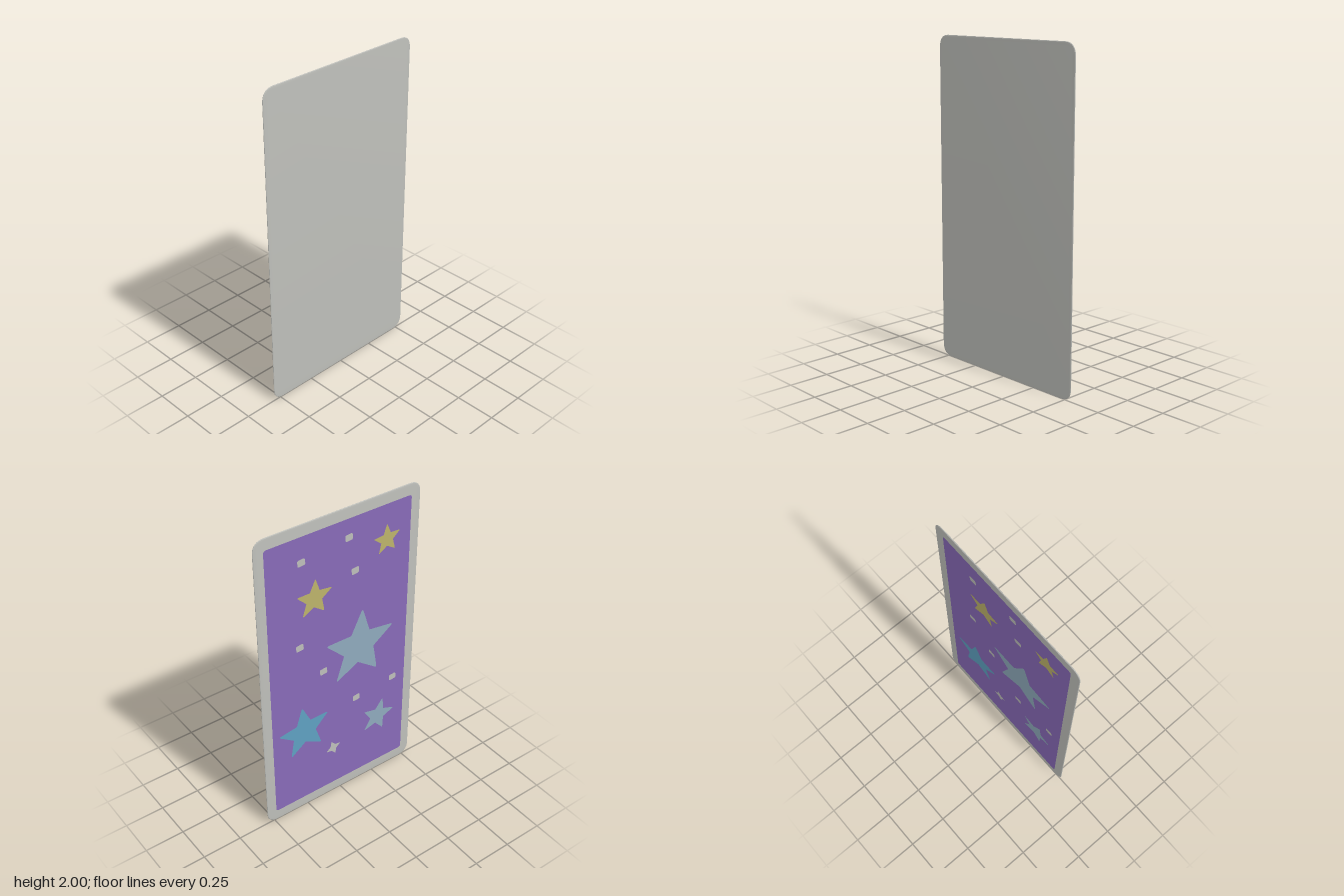
import * as THREE from 'three';
import { toCreasedNormals } from 'three/addons/utils/BufferGeometryUtils.js';

const mat = (name, color) => {
  const m = new THREE.MeshStandardMaterial({ color });
  m.name = name;
  return m;
};

// Rounded rectangle centred on the origin
function roundedRect(w, h, r) {
  const x = w / 2, y = h / 2, s = new THREE.Shape();
  s.moveTo(-x + r, -y);
  s.lineTo(x - r, -y).quadraticCurveTo(x, -y, x, -y + r);
  s.lineTo(x, y - r).quadraticCurveTo(x, y, x - r, y);
  s.lineTo(-x + r, y).quadraticCurveTo(-x, y, -x, y - r);
  s.lineTo(-x, -y + r).quadraticCurveTo(-x, -y, -x + r, -y);
  return s;
}

// Star with softly rounded tips; the angle in degrees points at the first tip
function star(points, radius, innerRatio, angle) {
  const s = new THREE.Shape();
  const at = (k, r) => new THREE.Vector2(r, 0)
    .rotateAround(new THREE.Vector2(), THREE.MathUtils.degToRad(angle + k * 180 / points));
  for (let i = 0; i < points; i++) {
    const before = at(2 * i - 1, radius * innerRatio);
    const tip = at(2 * i, radius * 1.04);
    const after = at(2 * i + 1, radius * innerRatio);
    const a = before.clone().lerp(tip, 0.87), b = tip.clone().lerp(after, 0.13);
    if (i === 0) s.moveTo(before.x, before.y);
    s.lineTo(a.x, a.y);
    s.quadraticCurveTo(tip.x, tip.y, b.x, b.y);
    s.lineTo(after.x, after.y);
  }
  return s;
}

export function createModel() {
  const grey = mat('card grey', 0xbebfba);
  const purple = mat('purple', 0x886ab8);
  const yellow = mat('yellow', 0xbdb36b);
  const teal = mat('teal', 0x5fa1c1);
  const paleBlue = mat('pale blue', 0x8faabc);

  const model = new THREE.Group();
  model.name = 'card';

  // Card body with a thin bevelled rim
  const bodyGeo = new THREE.ExtrudeGeometry(roundedRect(1.076, 1.976, 0.065), {
    depth: 0.002, bevelThickness: 0.003, bevelSize: 0.01, bevelSegments: 2, curveSegments: 8,
  });
  bodyGeo.translate(0, 1, -0.001);
  const body = new THREE.Mesh(toCreasedNormals(bodyGeo, 0.5), grey);
  body.name = 'cardBody';
  model.add(body);

  // Printed side, facing the back
  const back = new THREE.Group();
  back.name = 'printedSide';
  back.rotation.y = Math.PI;
  model.add(back);
  const plate = (name, shape, material, x, y, z = 0.0056) => {
    const m = new THREE.Mesh(new THREE.ShapeGeometry(shape, 6), material);
    m.name = name;
    m.position.set(-x, y, z);
    back.add(m);
    return m;
  };

  plate('backPanel', roundedRect(0.972, 1.854, 0.02), purple, 0, 1, 0.0048);

  // Five-pointed stars: name, material, x, y, radius, angle
  [
    ['largeStar', paleBlue, -0.136, 1.052, 0.247, 85.4],
    ['tealStar', teal, 0.264, 0.602, 0.18, 94],
    ['yellowStar', yellow, 0.176, 1.513, 0.12, 86],
    ['smallYellowStar', yellow, -0.32, 1.705, 0.094, 91],
    ['smallPaleStar', paleBlue, -0.286, 0.446, 0.123, 73],
  ].forEach(([name, m, x, y, r, a]) => plate(name, star(5, r, 0.46, a), m, x, y));

  // Four-pointed sparkle
  plate('sparkle', star(4, 0.052, 0.48, 15), grey, 0.054, 0.361);

  // Scattered dots
  [
    [0.256, 1.771], [-0.057, 1.811], [-0.101, 1.585], [0.28, 1.225],
    [0.121, 0.986], [-0.118, 0.674], [-0.395, 0.702],
  ].forEach(([x, y]) => {
    plate('dot', roundedRect(0.05, 0.042, 0.01), grey, x, y).rotation.z = 0.1;
  });

  return model;
}
